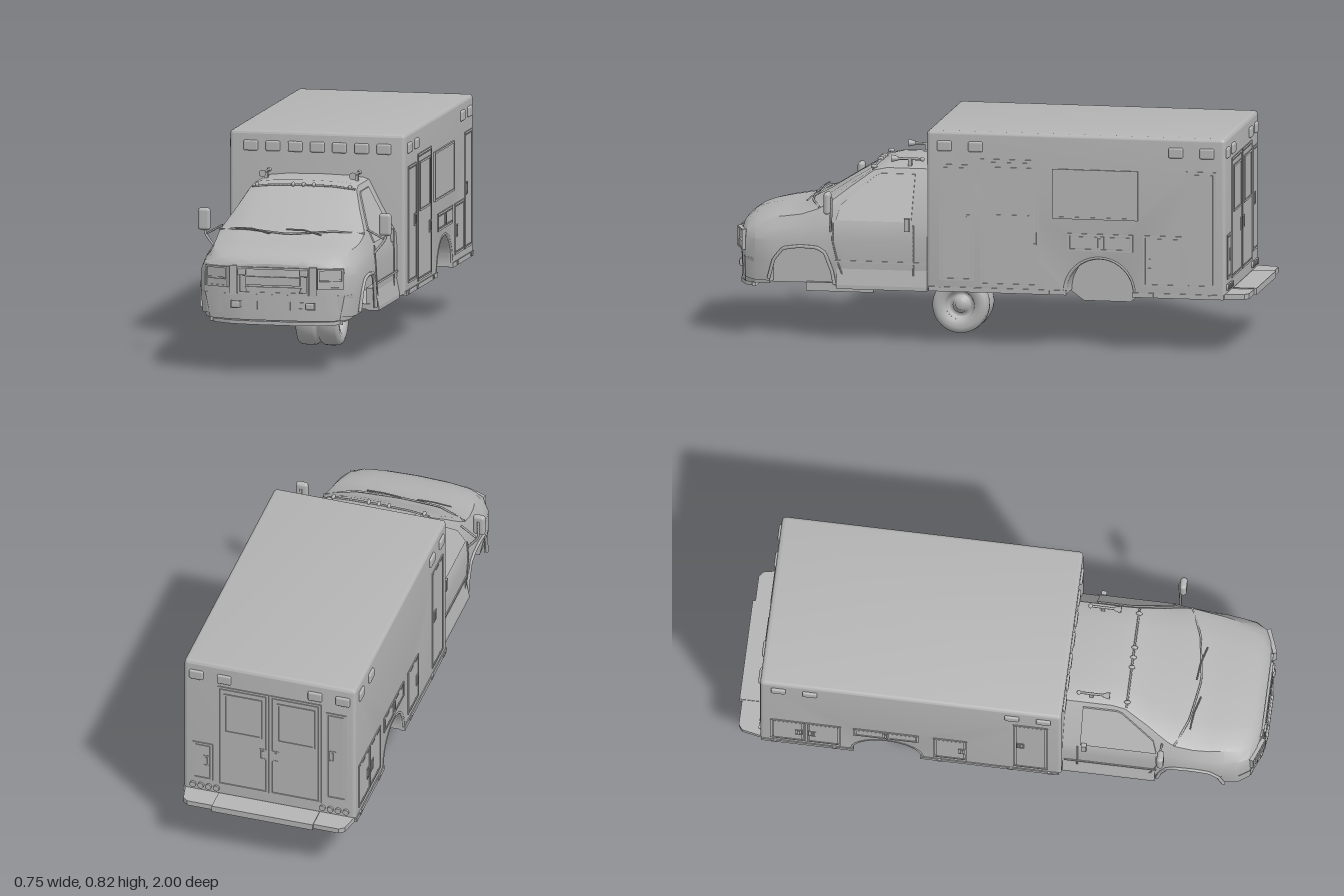
import * as THREE from 'three';
import { toCreasedNormals } from 'three/addons/utils/BufferGeometryUtils.js';
import { RoundedBoxGeometry } from 'three/addons/geometries/RoundedBoxGeometry.js';

const grey = new THREE.MeshStandardMaterial({ color: 0xb4b4b4, side: THREE.DoubleSide });

export function createModel() {
  const model = new THREE.Group();
  const add = (name, geo, x = 0, y = 0, z = 0, parent = model) => {
    const m = new THREE.Mesh(geo, grey);
    m.name = name;
    m.position.set(x, y, z);
    parent.add(m);
    return m;
  };
  // box given by its limits
  const box = (name, x0, x1, y0, y1, z0, z1, parent) => add(name,
    new THREE.BoxGeometry(x1 - x0, y1 - y0, z1 - z0), (x0 + x1) / 2, (y0 + y1) / 2, (z0 + z1) / 2, parent);
  const polygon = pts => new THREE.Shape(pts.map(p => new THREE.Vector2(...p)));
  const rect = (x0, x1, y0, y1) => [[x0, y0], [x1, y0], [x1, y1], [x0, y1]];
  const extrude = (shape, depth) => new THREE.ExtrudeGeometry(shape, { depth, bevelEnabled: false });
  const tube = (name, pts, r) => add(name, new THREE.TubeGeometry(
    new THREE.CatmullRomCurve3(pts.map(p => new THREE.Vector3(...p)), false, 'catmullrom', 0.1), pts.length * 5, r, 6));
  const frameGeo = (x0, x1, y0, y1, w, depth) => {
    const s = polygon(rect(x0, x1, y0, y1));
    s.holes.push(polygon(rect(x0 + w, x1 - w, y0 + w, y1 - w)));
    return extrude(s, depth);
  };

  // Rear body: side profile (z, y) with wheel arch, extruded across the width
  const W = 0.34, archZ = -0.421, archR = 0.127, archY = 0.218;
  const profile = new THREE.Shape();
  profile.moveTo(-0.905, 0.21);
  profile.lineTo(archZ - archR, 0.21);
  profile.absarc(archZ, archY, archR, Math.PI, 0, true);
  profile.lineTo(archZ + archR, 0.21);
  profile.lineTo(0.243, 0.21);
  profile.lineTo(0.243, 0.805);
  profile.quadraticCurveTo(0.243, 0.822, 0.226, 0.822);
  profile.lineTo(-0.888, 0.822);
  profile.quadraticCurveTo(-0.905, 0.822, -0.905, 0.805);
  const bevel = 0.014;
  const bodyGeo = new THREE.ExtrudeGeometry(profile, { depth: 2 * (W - bevel), bevelEnabled: true,
    bevelThickness: bevel, bevelSize: bevel, bevelOffset: -bevel, bevelSegments: 4, curveSegments: 24 });
  bodyGeo.rotateY(-Math.PI / 2).translate(W - bevel, 0, 0);
  add('rearBody', toCreasedNormals(bodyGeo, 0.6));

  // Faces of the rear body; local x runs along the face, local z points outwards
  const face = (name, rot, x, z) => {
    const g = new THREE.Group();
    g.name = name; g.rotation.y = rot; g.position.set(x, 0, z);
    model.add(g);
    return g;
  };
  const right = face('rightSide', -Math.PI / 2, -W, 0);
  const left = face('leftSide', Math.PI / 2, W, 0);
  const rear = face('rearFace', Math.PI, 0, -0.905);
  const front = face('frontFace', 0, 0, 0.243);

  const lamp = (f, u, y = 0.765) => add('warningLight', new RoundedBoxGeometry(0.056, 0.04, 0.016, 3, 0.007), u, y, 0.001, f);
  const latch = (f, u, y) => {
    add('latchPlate', frameGeo(u - 0.014, u + 0.014, y - 0.024, y + 0.024, 0.005, 0.005), 0, 0, 0, f);
    box('latchGrip', u - 0.004, u + 0.004, y - 0.016, y + 0.016, 0, 0.007, f);
  };
  const door = (f, u0, u1, y0, y1, lu, ly) => {
    add('doorSeal', frameGeo(u0, u1, y0, y1, 0.008, 0.004), 0, 0, 0, f);
    box('doorPanel', u0 + 0.012, u1 - 0.012, y0 + 0.012, y1 - 0.012, 0, 0.003, f);
    if (lu !== undefined) latch(f, lu, ly);
  };
  const pane = (f, u0, u1, y0, y1) => {
    add('windowFrame', frameGeo(u0, u1, y0, y1, 0.008, 0.007), 0, 0, 0, f);
    box('windowGlass', u0 + 0.008, u1 - 0.008, y0 + 0.008, y1 - 0.008, 0, 0.004, f);
  };

  for (let i = -3; i <= 3; i++) lamp(front, i * 0.086);
  for (const z of [0.175, 0.055, -0.715, -0.835]) { lamp(right, z); lamp(left, -z); }
  for (const x of [-0.29, -0.18, 0.18, 0.29]) lamp(rear, x);

  // Right side lockers
  door(right, 0.06, 0.193, 0.25, 0.695, 0.087, 0.48);
  door(right, -0.245, -0.115, 0.25, 0.445, -0.135, 0.34);
  door(right, -0.55, -0.30, 0.378, 0.445, -0.425, 0.412);
  door(right, -0.73, -0.595, 0.25, 0.445, -0.705, 0.34);
  door(right, -0.865, -0.732, 0.25, 0.445, -0.757, 0.34);
  // Left side lockers, window and entry door
  door(left, -0.193, -0.06, 0.25, 0.695, -0.087, 0.48);
  door(left, -0.035, 0.19, 0.235, 0.72, 0.165, 0.42);
  pane(left, -0.01, 0.16, 0.5, 0.69);
  pane(left, 0.24, 0.57, 0.5, 0.69);
  door(left, 0.30, 0.55, 0.378, 0.445, 0.425, 0.412);
  door(left, 0.59, 0.74, 0.25, 0.445, 0.615, 0.34);
  door(left, 0.755, 0.87, 0.25, 0.695, 0.78, 0.48);
  // Rear doors, lockers and tail lights
  for (const s of [-1, 1]) {
    const d = [s * 0.003, s * 0.205].sort((a, b) => a - b), w = [s * 0.03, s * 0.18].sort((a, b) => a - b);
    door(rear, ...d, 0.27, 0.73, s * 0.025, 0.45);
    pane(rear, ...w, 0.52, 0.7);
    for (let i = 0; i < 4; i++) add('tailLight', new THREE.CylinderGeometry(0.012, 0.012, 0.012, 16).rotateX(Math.PI / 2),
      s * (0.21 + i * 0.031), 0.25, 0.002, rear);
  }
  door(rear, 0.225, 0.305, 0.3, 0.7, 0.25, 0.5);
  door(rear, -0.305, -0.225, 0.28, 0.45, -0.25, 0.37);

  // Rub rails and arch trims
  for (const f of [right, left]) {
    const s = f === right ? 1 : -1;
    for (const [a, b] of [[-0.9, archZ - archR], [archZ + archR, 0.235]])
      box('rubRail', Math.min(a * s, b * s), Math.max(a * s, b * s), 0.207, 0.225, -0.014, 0.004, f);
    for (const z of [0.2, 0.05, -0.22, -0.62, -0.85])
      add('sideMarker', new THREE.BoxGeometry(0.02, 0.012, 0.006), z * s, 0.217, 0.004, f);
    add('archTrim', new THREE.TorusGeometry(archR + 0.008, 0.006, 6, 32, Math.PI), archZ * s, archY, -0.004, f);
  }

  // Inner wheel housing, underbody and rear step
  const housing = extrude(polygon([[-0.56, 0.4], [-0.56, 0.205], [-0.52, 0.168], [-0.34, 0.168], [-0.29, 0.205], [-0.29, 0.4]]), 0.44);
  add('wheelHousing', housing.rotateY(-Math.PI / 2).translate(0.22, 0, 0));
  box('cabFloor', -0.3, 0.3, 0.205, 0.225, 0.2, 0.6);
  box('engineBay', -0.2, 0.2, 0.2, 0.36, 0.55, 0.9);
  box('crossMember', -0.22, 0.22, 0.172, 0.205, 0.47, 0.73);
  box('skidPlate', -0.165, 0.165, 0.166, 0.175, 0.52, 0.68);
  const step = extrude(polygon([[-0.335, 0.9], [0.335, 0.9], [0.32, 0.975], [0.3, 0.99], [-0.3, 0.99], [-0.32, 0.975]]), 0.02);
  add('rearStep', step.rotateX(-Math.PI / 2), 0, 0.208, 0);
  box('stepTread', -0.2, 0.2, 0.207, 0.232, -1, -0.91);

  // Cab: cross-sections along z. [z, half width, bottom y, belt half width, belt y, top half width, edge y, centre y]
  const sections = [
    [0.235, 0.31, 0.21, 0.305, 0.45, 0.2, 0.65, 0.665], [0.42, 0.31, 0.21, 0.305, 0.45, 0.2, 0.65, 0.665],
    [0.47, 0.31, 0.21, 0.305, 0.45, 0.205, 0.64, 0.652], [0.56, 0.31, 0.21, 0.305, 0.45, 0.238, 0.575, 0.602],
    [0.605, 0.31, 0.21, 0.304, 0.45, 0.258, 0.54, 0.574], [0.615, 0.31, 0.26, 0.304, 0.45, 0.262, 0.533, 0.568],
    [0.64, 0.311, 0.33, 0.303, 0.445, 0.272, 0.515, 0.552], [0.67, 0.312, 0.35, 0.302, 0.44, 0.28, 0.498, 0.533],
    [0.735, 0.312, 0.355, 0.30, 0.43, 0.278, 0.475, 0.498], [0.8, 0.311, 0.345, 0.298, 0.425, 0.272, 0.465, 0.487],
    [0.835, 0.309, 0.3, 0.295, 0.42, 0.265, 0.46, 0.481], [0.855, 0.307, 0.22, 0.293, 0.42, 0.26, 0.457, 0.478],
    [0.91, 0.298, 0.22, 0.283, 0.415, 0.25, 0.445, 0.466], [0.95, 0.272, 0.225, 0.263, 0.41, 0.23, 0.43, 0.453],
    [0.972, 0.225, 0.23, 0.22, 0.405, 0.19, 0.42, 0.438], [0.982, 0.17, 0.24, 0.17, 0.4, 0.15, 0.41, 0.42],
  ];
  const rows = sections.map(([z, w, yb, wb, by, wt, ye, yc]) => {
    const half = [[w - 0.008, yb], [w, Math.max(yb, 0.3)], [w, Math.max(yb, 0.38)], [wb, by], [wt, ye],
      [wt * 0.9, ye + (yc - ye) * 0.4], [wt * 0.6, ye + (yc - ye) * 0.8], [0, yc]];
    return [...half, ...half.slice(0, -1).reverse().map(([x, y]) => [-x, y])].map(([x, y]) => [x, y, z]);
  });
  rows.push(rows[0].map(() => [0, 0.33, 0.982]));
  const n = rows[0].length, index = [];
  for (let i = 0; i < rows.length - 1; i++) for (let j = 0; j < n - 1; j++) {
    const a = i * n + j, c = a + n;
    index.push(a, a + 1, c, a + 1, c + 1, c);
  }
  const cab = new THREE.BufferGeometry();
  cab.setAttribute('position', new THREE.Float32BufferAttribute(rows.flat(2), 3));
  cab.setIndex(index);
  add('cab', toCreasedNormals(cab, 0.5));

  // Windshield trim and wipers
  tube('windshieldTop', [[-0.2, 0.642, 0.474], [-0.12, 0.651, 0.474], [0, 0.654, 0.474], [0.12, 0.651, 0.474], [0.2, 0.642, 0.474]], 0.004);
  tube('windshieldBase', [[-0.28, 0.502, 0.665], [-0.17, 0.513, 0.71], [0, 0.502, 0.735], [0.17, 0.513, 0.71], [0.28, 0.502, 0.665]], 0.004);
  for (const x of [-0.07, 0.13]) tube('wiper', [[x, 0.502, 0.742], [x - 0.07, 0.517, 0.725], [x - 0.14, 0.517, 0.718]], 0.003);

  // Roof marker lights
  for (const x of [-0.18, -0.04, 0, 0.04, 0.18])
    add('markerLight', new THREE.SphereGeometry(0.009, 12, 8).scale(0.8, 1, 1.4), x, Math.abs(x) > 0.1 ? 0.65 : 0.655, 0.475);

  for (const s of [-1, 1]) {
    // Side window on the sloping upper wall
    const glass = extrude(polygon([[0.31, 0.46], [0.6, 0.46], [0.585, 0.515], [0.46, 0.622], [0.44, 0.63], [0.31, 0.63]]), 0.005);
    const p = glass.attributes.position;
    for (let i = 0; i < p.count; i++) {
      const z = p.getX(i), y = p.getY(i);
      p.setXYZ(i, s * (0.305 - 0.525 * (y - 0.45) + p.getZ(i)), y, z);
    }
    glass.computeVertexNormals();
    add('cabWindow', glass);
    tube('doorSeam', [[s * 0.308, 0.45, 0.3], [s * 0.311, 0.38, 0.3], [s * 0.311, 0.3, 0.3], [s * 0.309, 0.235, 0.305],
      [s * 0.309, 0.235, 0.56], [s * 0.311, 0.3, 0.59], [s * 0.311, 0.38, 0.61], [s * 0.306, 0.45, 0.61]], 0.003);
    box('bodyMoulding', s * 0.31 - 0.004, s * 0.31 + 0.004, 0.3, 0.308, 0.25, 0.6);
    box('cabDoorHandle', s * 0.309 - 0.008, s * 0.309 + 0.008, 0.425, 0.475, 0.315, 0.335);
    // Running board with sloping skirt
    const board = extrude(polygon([[0.27, 0.2], [0.32, 0.2], [0.32, 0.215], [0.306, 0.285], [0.27, 0.285]].map(([x, y]) => [s * x, y])), 0.35);
    add('runningBoard', board, 0, 0, 0.245);
    // Front arch lip
    tube('frontArchLip', [[s * 0.31, 0.215, 0.603], [s * 0.31, 0.265, 0.613], [s * 0.312, 0.335, 0.64], [s * 0.314, 0.354, 0.67],
      [s * 0.314, 0.358, 0.735], [s * 0.313, 0.348, 0.8], [s * 0.311, 0.303, 0.837], [s * 0.307, 0.23, 0.857]], 0.007);
    // Mirror and arms
    add('mirror', new RoundedBoxGeometry(0.048, 0.085, 0.026, 4, 0.012), s * 0.351, 0.533, 0.622);
    tube('mirrorArm', [[s * 0.352, 0.555, 0.608], [s * 0.352, 0.49, 0.608], [s * 0.345, 0.47, 0.61], [s * 0.298, 0.41, 0.62]], 0.005);
    tube('mirrorBrace', [[s * 0.345, 0.475, 0.61], [s * 0.28, 0.512, 0.62]], 0.004);
    // Roof spotlight
    tube('spotlightStem', [[s * 0.175, 0.682, 0.29], [s * 0.175, 0.682, 0.39]], 0.005);
    box('spotlightFoot', s * 0.175 - 0.006, s * 0.175 + 0.006, 0.65, 0.682, 0.33, 0.345);
    add('spotlight', new THREE.CylinderGeometry(0.014, 0.008, 0.025, 16).rotateX(Math.PI / 2), s * 0.175, 0.682, 0.395);
    add('spotlightBack', new THREE.SphereGeometry(0.009, 12, 8), s * 0.175, 0.682, 0.29);
    // Headlight
    const head = new THREE.Group();
    head.name = 'headlight';
    head.position.set(s * 0.217, 0.37, 0.968);
    head.rotation.y = s * 0.36;
    model.add(head);
    add('headlightFrame', frameGeo(-0.05, 0.05, -0.04, 0.038, 0.007, 0.016), 0, 0, 0, head);
    box('headlightLens', -0.045, 0.045, -0.005, 0.032, -0.01, 0.01, head);
    box('turnSignal', -0.045, 0.045, -0.034, -0.01, -0.01, 0.012, head);
    // Grille surround and bumper lamps
    box('grillePost', s * 0.154 - 0.014, s * 0.154 + 0.014, 0.3, 0.412, 0.955, 0.988);
    add('grilleLight', new RoundedBoxGeometry(0.032, 0.024, 0.014, 3, 0.005), s * 0.12, 0.388, 0.992);
    add('fogLight', new RoundedBoxGeometry(0.034, 0.025, 0.02, 3, 0.006), s * 0.144, 0.264, 0.988);
  }

  // Grille
  add('grilleFrame', frameGeo(-0.137, 0.137, 0.305, 0.408, 0.008, 0.022), 0, 0, 0.97);
  box('grilleBar', -0.105, 0.105, 0.34, 0.372, 0.97, 0.993);
  add('grilleIntake', extrude(polygon([[-0.1, 0.313], [0.1, 0.313], [0.11, 0.333], [-0.11, 0.333]]), 0.01), 0, 0, 0.978);

  // Front bumper and lower lip, from plan outlines
  const plan = (k, back, front) => polygon([[-0.3 * k, back], [0.3 * k, back], [0.297 * k, 0.915], [0.27 * k, 0.955],
    [0.19 * k, front - 0.012], [0.1 * k, front], [-0.1 * k, front], [-0.19 * k, front - 0.012], [-0.27 * k, 0.955], [-0.297 * k, 0.915]]);
  const bumper = extrude(plan(1, 0.857, 0.993), 0.098).rotateX(Math.PI / 2).translate(0, 0.305, 0);
  const bp = bumper.attributes.position;
  for (let i = 0; i < bp.count; i++) if (bp.getY(i) < 0.25) bp.setX(i, bp.getX(i) * 0.93);
  add('frontBumper', toCreasedNormals(bumper, 0.5));
  add('bumperTrim', frameGeo(-0.163, 0.163, 0.25, 0.278, 0.005, 0.02), 0, 0, 0.973);
  for (const x of [-0.064, 0.064]) box('bumperGuard', x - 0.005, x + 0.005, 0.247, 0.28, 0.97, 0.997);
  add('bumperLip', extrude(plan(0.86, 0.93, 1), 0.014).rotateX(Math.PI / 2), 0, 0.204, 0);

  // Twin wheel under the centre
  const wheel = new THREE.Group();
  wheel.name = 'twinWheel';
  wheel.position.set(0, 0.108, 0.165);
  model.add(wheel);
  const tyre = [[0.055, 0.07], [0.062, 0.082], [0.085, 0.085], [0.1, 0.08], [0.106, 0.07], [0.108, 0.045],
    [0.106, 0.018], [0.099, 0.006], [0.09, 0]];
  const ring = [...tyre, ...tyre.slice(0, -1).reverse().map(([r, h]) => [r, -h])];
  add('tyres', new THREE.LatheGeometry(ring.map(p => new THREE.Vector2(...p)), 40).rotateZ(Math.PI / 2), 0, 0, 0, wheel);
  const rim = [[0, 0.068], [0.018, 0.068], [0.02, 0.06], [0.03, 0.06], [0.034, 0.04], [0.048, 0.045], [0.055, 0.07]];
  for (const s of [-1, 1])
    add('rim', new THREE.LatheGeometry(rim.map(([r, h]) => new THREE.Vector2(r, s * h)), 32).rotateZ(Math.PI / 2), 0, 0, 0, wheel);
  return model;
}
